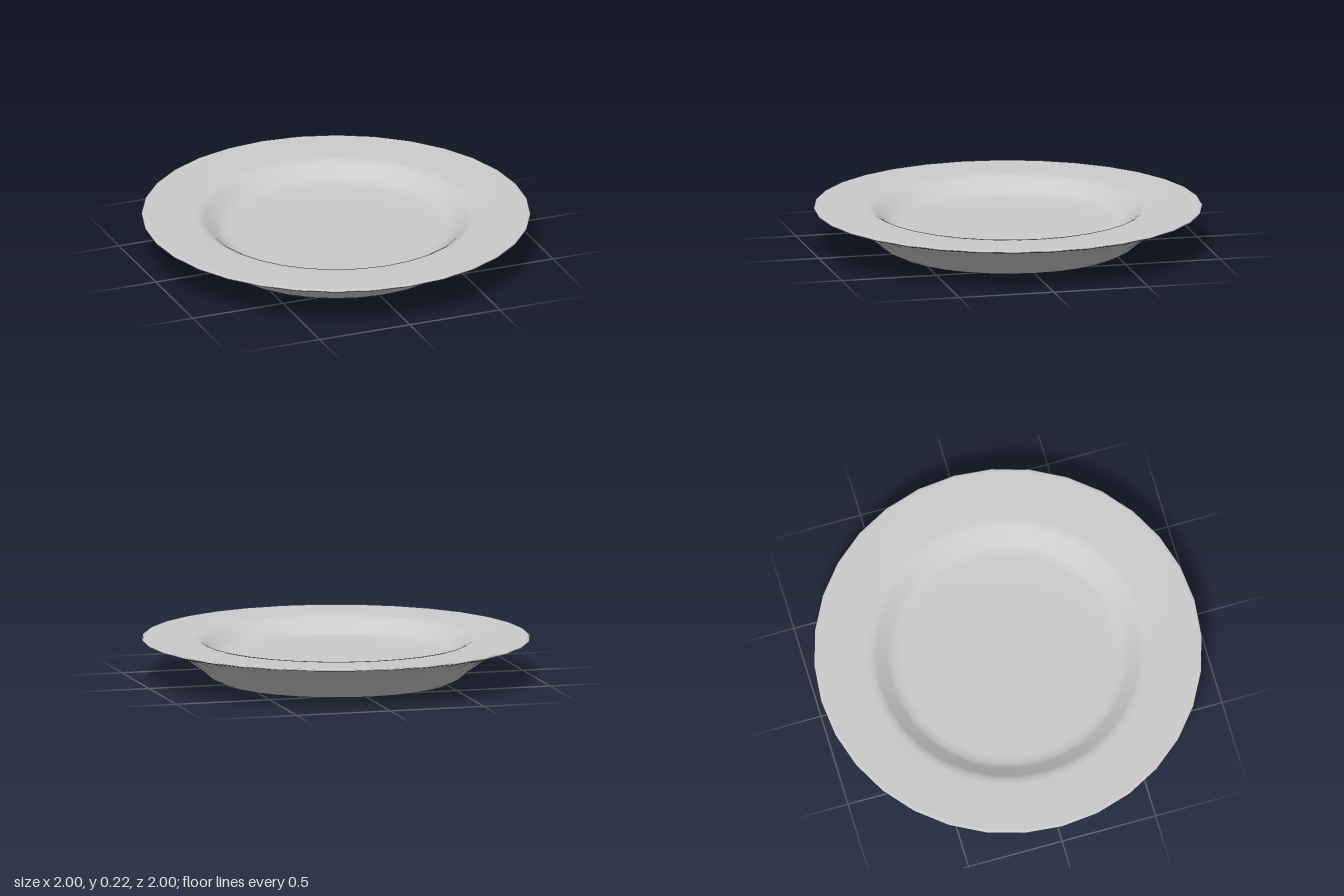
import * as THREE from 'three';

// Shallow dinner plate: one closed, smooth profile turned in 32 steps
export function createModel() {
  const group = new THREE.Group();
  group.name = 'plate';

  const profile = [
    // underside: flat base, flared wall, underside of the rim
    [0, 0], [0.3, 0.001], [0.58, 0.004], [0.62, 0.01], [0.655, 0.029],
    [0.71, 0.077], [0.8, 0.138], [0.89, 0.178], [0.985, 0.207],
    // rounded edge
    [0.998, 0.212], [1, 0.218], [0.995, 0.222], [0.98, 0.223],
    // upper side: broad rim, sloping step, well
    [0.85, 0.219], [0.73, 0.215], [0.7, 0.211], [0.675, 0.197],
    [0.62, 0.154], [0.59, 0.139], [0.55, 0.133], [0.3, 0.131], [0, 0.131],
  ].map(([r, y]) => new THREE.Vector2(r, y));

  const body = new THREE.Mesh(
    new THREE.LatheGeometry(profile, 32),
    new THREE.MeshStandardMaterial({ color: 0xcccccc })
  );
  body.name = 'plateBody';
  group.add(body);
  return group;
}
